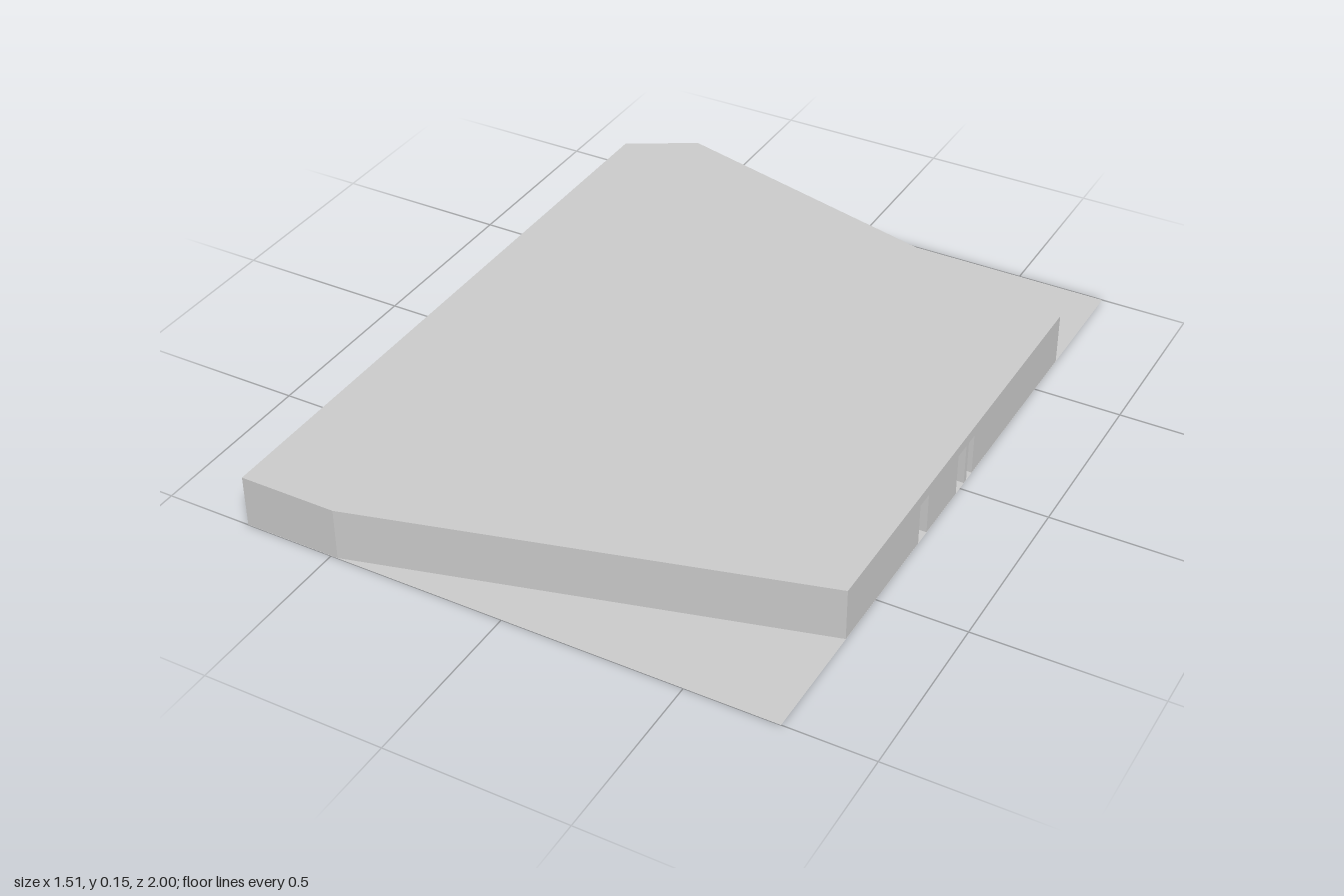
import * as THREE from 'three';

const W = 0.755, HEIGHT = 0.15, DOOR_HEIGHT = 0.12, LIFT = 0.001;

// Footprint corners as [x, z]; the right wall runs from front to back.
const outerWalls = [[W, -0.65], [-0.565, -1], [-W, -0.89], [-W, 1], [-0.48, 1], [W, 0.665]];

// Doorway recesses cut into the right wall, from front to back.
const doorways = [
  [[W, 0.255], [0.715, 0.215], [0.715, 0.205], [W, 0.205]],
  [[W, 0.025], [0.715, -0.015], [0.715, -0.025], [W, -0.025]],
  [[W, -0.04], [0.73, -0.04], [0.73, -0.075], [W, -0.075]],
];

// Extrudes a plan upwards between two heights.
function prism(name, plan, bottom, top, material) {
  const shape = new THREE.Shape(plan.map(([x, z]) => new THREE.Vector2(x, -z)));
  const geometry = new THREE.ExtrudeGeometry(shape, { depth: top - bottom, bevelEnabled: false });
  geometry.rotateX(-Math.PI / 2).translate(0, bottom, 0);
  const mesh = new THREE.Mesh(geometry, material);
  mesh.name = name;
  return mesh;
}

export function createModel() {
  const model = new THREE.Group();
  model.name = 'building';
  const grey = new THREE.MeshStandardMaterial({ color: 0xcccccc, flatShading: true });

  // Thin rectangular site under the building
  const site = new THREE.Mesh(
    new THREE.PlaneGeometry(2 * W, 2).rotateX(-Math.PI / 2),
    new THREE.MeshStandardMaterial({ color: 0xcccccc, side: THREE.DoubleSide })
  );
  site.name = 'groundPlate';
  model.add(site);

  // Walls with doorway recesses, then the unbroken band and flat roof above
  model.add(prism('walls', [...outerWalls, ...doorways.flat()], LIFT, DOOR_HEIGHT, grey));
  model.add(prism('roof', outerWalls, DOOR_HEIGHT, HEIGHT, grey));

  return model;
}
